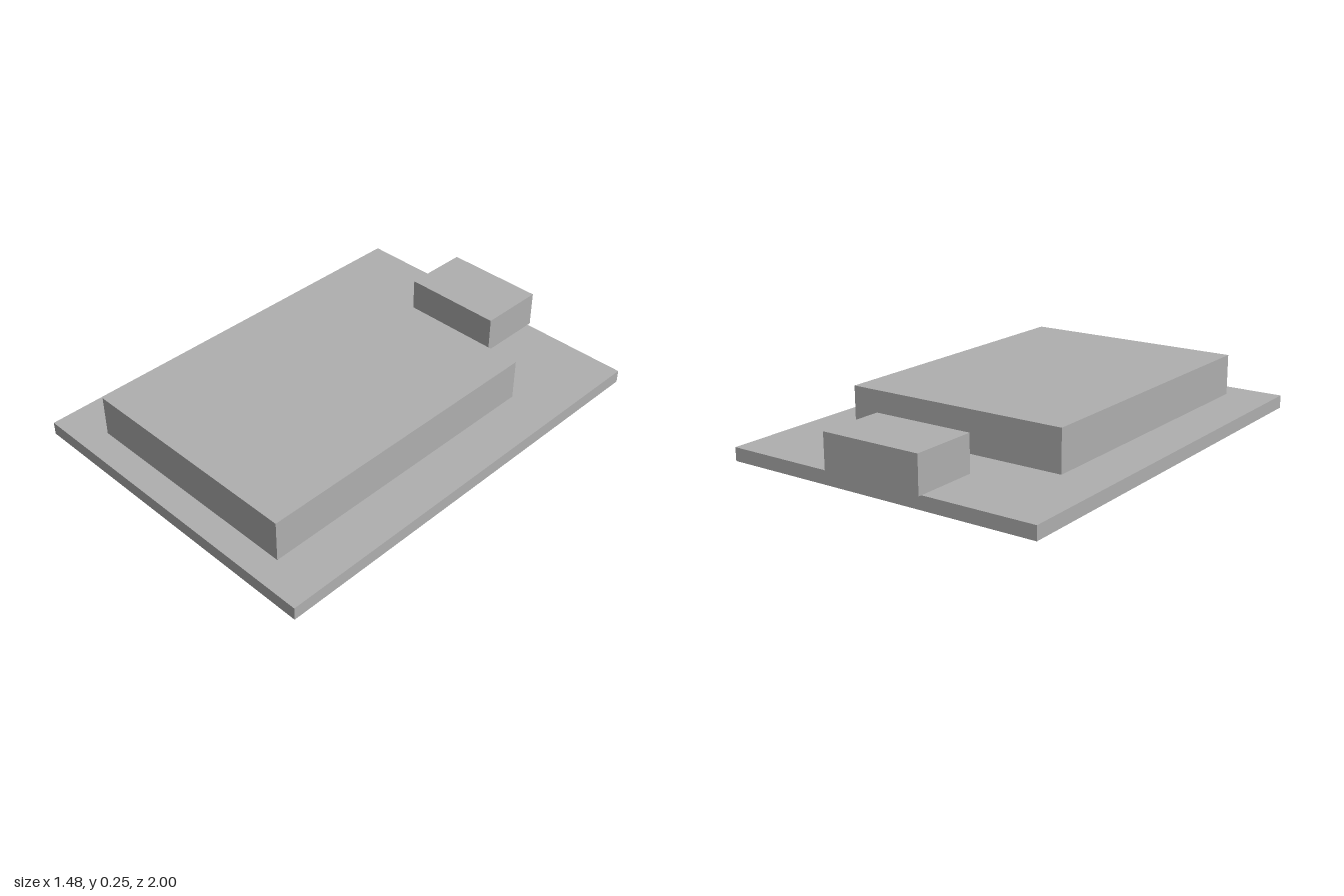
import * as THREE from 'three';

export function createModel() {
  const group = new THREE.Group();
  const grey = new THREE.MeshStandardMaterial({ color: 0xb0b0b0 });
  grey.name = 'plain grey';

  // Box given by its extents along each axis
  const addBlock = (name, [x0, x1], [y0, y1], [z0, z1]) => {
    const mesh = new THREE.Mesh(new THREE.BoxGeometry(x1 - x0, y1 - y0, z1 - z0), grey);
    mesh.position.set((x0 + x1) / 2, (y0 + y1) / 2, (z0 + z1) / 2);
    mesh.name = name;
    group.add(mesh);
  };

  // Thin board carrying everything
  addBlock('basePlate', [-0.74, 0.74], [0, 0.059], [-0.984, 1]);
  // Large raised block towards the front
  addBlock('mainBlock', [-0.523, 0.521], [0.059, 0.245], [-0.507, 0.88]);
  // Small block slightly overhanging the back edge
  addBlock('rearBlock', [-0.233, 0.229], [0.059, 0.222], [-1, -0.696]);

  return group;
}
